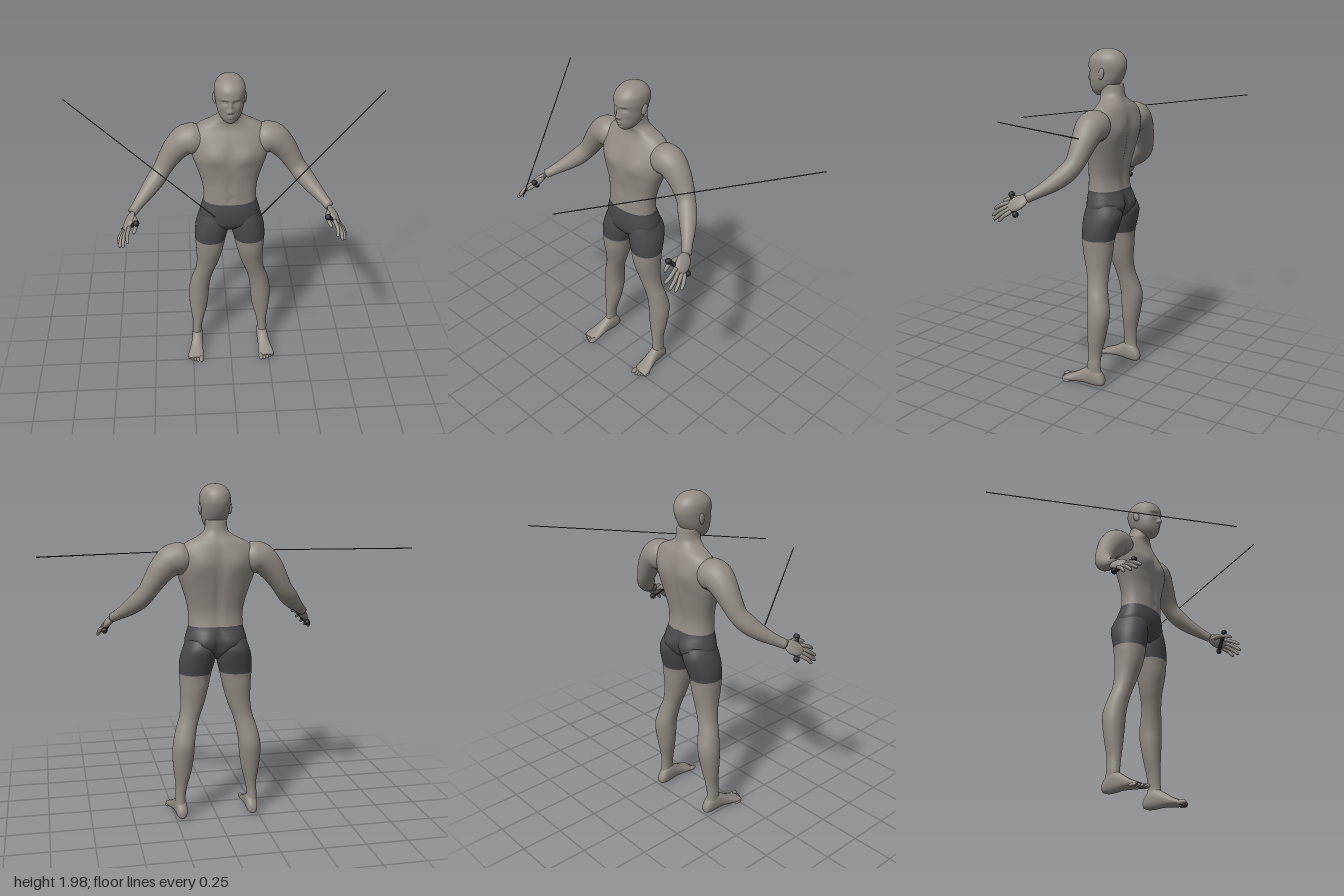
import * as THREE from 'three';

const material = (name, color) => Object.assign(new THREE.MeshStandardMaterial({ color }), { name });

// Closed skin over a list of rings of points; rings before splitRing form a first material group
function skin(rings, splitRing = 0) {
  const n = rings[0].length;
  const middle = (r) => r.reduce((s, p) => s.add(p), new THREE.Vector3()).divideScalar(n);
  const pos = [], index = [];
  for (const r of rings) for (const p of r) pos.push(p.x, p.y, p.z);
  for (let i = 0; i < rings.length - 1; i++) {
    for (let j = 0; j < n; j++) {
      const a = i * n + j, b = i * n + (j + 1) % n;
      index.push(a, b, b + n, a, b + n, a + n);
    }
  }
  const split = splitRing * n * 6, last = (rings.length - 1) * n, c = rings.length * n;
  for (const p of [middle(rings[0]), middle(rings[rings.length - 1])]) pos.push(p.x, p.y, p.z);
  for (let j = 0; j < n; j++) {
    const k = (j + 1) % n;
    index.push(last + j, last + k, c + 1);
    index.unshift(c, k, j);
  }
  const g = new THREE.BufferGeometry();
  g.setAttribute('position', new THREE.Float32BufferAttribute(pos, 3));
  g.setIndex(index);
  g.computeVertexNormals();
  if (splitRing) {
    g.addGroup(0, split + n * 3, 0);
    g.addGroup(split + n * 3, index.length - split - n * 3, 1);
  }
  return g;
}

// Sections [y, centre x, half width, front z, back z], smoothed, with soft bumps
// Bump: [side (1 front, -1 back), x, y, x radius, y radius, shift in z]
function loft(sections, { sub = 5, seg = 40, power = 0.9, bumps = [], split = 0 } = {}) {
  const at = (i) => sections[Math.min(Math.max(i, 0), sections.length - 1)];
  const rings = [];
  const pw = (v) => Math.sign(v) * Math.abs(v) ** power;
  for (let k = 0; k <= (sections.length - 1) * sub; k++) {
    const i = Math.floor(k / sub), t = k / sub - i;
    const [y, cx, w, f, b] = at(i).map((p1, c) => {
      const p0 = at(i - 1)[c], p2 = at(i + 1)[c], p3 = at(i + 2)[c];
      return p1 + 0.5 * t * (p2 - p0 + t * (2 * p0 - 5 * p1 + 4 * p2 - p3 + t * (3 * (p1 - p2) + p3 - p0)));
    });
    rings.push(Array.from({ length: seg }, (_, j) => {
      const a = j / seg * Math.PI * 2;
      const p = new THREE.Vector3(cx + w * pw(Math.sin(a)), y, (f + b) / 2 + (f - b) / 2 * pw(Math.cos(a)));
      for (const [side, bx, by, rx, ry, d] of bumps) {
        const facing = THREE.MathUtils.smoothstep(Math.cos(a) * side, 0, 0.5);
        p.z += facing * d * Math.exp(-(((Math.abs(p.x) - bx) / rx) ** 2) - ((y - by) / ry) ** 2);
      }
      return p;
    }));
  }
  return skin(rings, split * sub);
}

// Round limb through points [x, y, z, radius]
function limb(points, seg = 24, steps = 40) {
  const curve = new THREE.CatmullRomCurve3(points.map((p) => new THREE.Vector3(p[0], p[1], p[2])));
  const radii = new THREE.SplineCurve(points.map((p, i) => new THREE.Vector2(i, p[3])));
  const { normals, binormals } = curve.computeFrenetFrames(steps);
  const rings = [];
  for (let i = 0; i <= steps; i++) {
    const t = curve.getUtoTmapping(i / steps), c = curve.getPoint(t), r = radii.getPoint(t).y;
    rings.push(Array.from({ length: seg }, (_, j) => {
      const a = j / seg * Math.PI * 2;
      return c.clone().addScaledVector(normals[i], r * Math.cos(a)).addScaledVector(binormals[i], r * Math.sin(a));
    }));
  }
  return skin(rings);
}

const ball = (x, y, z, rx, ry, rz) => new THREE.SphereGeometry(1, 20, 14).scale(rx, ry, rz).translate(x, y, z);

// Straight round bar between two points
function bar(a, b, r) {
  const d = b.clone().sub(a);
  const q = new THREE.Quaternion().setFromUnitVectors(new THREE.Vector3(0, 1, 0), d.clone().normalize());
  const m = a.clone().add(b).multiplyScalar(0.5);
  return new THREE.CylinderGeometry(r, r, d.length(), 12).applyQuaternion(q).translate(m.x, m.y, m.z);
}

function mirrored(geo) {
  const g = geo.clone().scale(-1, 1, 1), ix = g.index.array;
  for (let i = 0; i < ix.length; i += 3) [ix[i], ix[i + 1]] = [ix[i + 1], ix[i]];
  g.computeVertexNormals();
  return g;
}

export function createModel() {
  const model = new THREE.Group();
  const skinMat = material('skin', 0x938c85);
  const shortsMat = material('shorts cloth', 0x4a494e);
  const rodMat = material('rod metal', 0x444446);
  const gripMat = material('grip rubber', 0x29292d);
  const add = (name, geo, mat) => {
    const mesh = new THREE.Mesh(geo, mat);
    mesh.name = name;
    model.add(mesh);
  };
  const pair = (name, geo, mat) => {
    add(name + 'Left', geo, mat);
    add(name + 'Right', mirrored(geo), mat);
  };

  // Torso with pelvis, chest, shoulders and neck
  add('torso', loft([
    [0.975, 0, 0.05, -0.09, -0.2], [1.02, 0, 0.16, -0.055, -0.25], [1.08, 0, 0.182, -0.045, -0.268],
    [1.13, 0, 0.172, -0.045, -0.262], [1.175, 0, 0.16, -0.05, -0.25], [1.25, 0, 0.16, -0.053, -0.243],
    [1.32, 0, 0.173, -0.055, -0.252], [1.4, 0, 0.198, -0.047, -0.268], [1.47, 0, 0.222, -0.045, -0.28],
    [1.54, 0, 0.235, -0.06, -0.285], [1.6, 0, 0.225, -0.082, -0.28], [1.65, 0, 0.185, -0.105, -0.268],
    [1.685, 0, 0.115, -0.11, -0.25], [1.72, 0, 0.068, -0.1, -0.237], [1.78, 0, 0.06, -0.09, -0.23],
  ], {
    seg: 64, split: 4, bumps: [
      [1, 0.09, 1.5, 0.065, 0.055, 0.016], [1, 0, 1.5, 0.015, 0.08, -0.006], [1, 0, 1.21, 0.01, 0.012, -0.008],
      [1, 0, 1.3, 0.01, 0.08, -0.004], [1, 0.045, 1.3, 0.03, 0.08, 0.004],
      [-1, 0, 1.4, 0.022, 0.2, 0.014], [-1, 0.1, 1.54, 0.06, 0.07, -0.014],
      [-1, 0.085, 1.08, 0.06, 0.06, -0.02], [-1, 0, 1.05, 0.018, 0.08, 0.022],
    ],
  }), [shortsMat, skinMat]);

  // Head with sculpted face
  add('head', loft([
    [1.712, 0, 0.02, -0.06, -0.11], [1.73, 0, 0.045, -0.043, -0.15], [1.76, 0, 0.065, -0.03, -0.19],
    [1.8, 0, 0.077, -0.024, -0.22], [1.84, 0, 0.083, -0.022, -0.238], [1.88, 0, 0.088, -0.017, -0.247],
    [1.92, 0, 0.085, -0.025, -0.24], [1.95, 0, 0.068, -0.052, -0.218], [1.968, 0, 0.046, -0.08, -0.188],
    [1.978, 0, 0.014, -0.115, -0.148],
  ], {
    seg: 96, sub: 7, power: 0.95, bumps: [
      [1, 0, 1.807, 0.012, 0.014, 0.022], [1, 0, 1.835, 0.009, 0.022, 0.013], [1, 0.014, 1.801, 0.007, 0.008, 0.011],
      [1, 0.033, 1.855, 0.019, 0.011, -0.014], [1, 0.033, 1.854, 0.009, 0.005, 0.006],
      [1, 0.03, 1.875, 0.022, 0.007, 0.004], [1, 0, 1.773, 0.02, 0.005, 0.008], [1, 0, 1.759, 0.016, 0.005, 0.008],
      [1, 0, 1.735, 0.02, 0.012, 0.005], [1, 0.05, 1.82, 0.015, 0.015, 0.004],
    ],
  }), skinMat);
  pair('ear', ball(0, 0, 0, 0.011, 0.034, 0.02).rotateX(-0.2).rotateY(-0.3).translate(0.085, 1.838, -0.14), skinMat);

  // Legs, wearing the shorts above mid thigh: [y, inner x, outer x, front z, back z]
  const leg = [
    [1.1, 0.01, 0.172, -0.07, -0.26], [1.04, 0.003, 0.195, -0.055, -0.283], [0.97, 0.006, 0.213, -0.05, -0.268],
    [0.89, 0.026, 0.216, -0.055, -0.245], [0.8, 0.045, 0.211, -0.065, -0.238], [0.7, 0.072, 0.21, -0.092, -0.228],
    [0.62, 0.102, 0.222, -0.11, -0.23], [0.55, 0.12, 0.245, -0.122, -0.245], [0.47, 0.133, 0.262, -0.13, -0.264],
    [0.4, 0.138, 0.267, -0.133, -0.26], [0.3, 0.152, 0.26, -0.138, -0.243], [0.2, 0.178, 0.247, -0.14, -0.225],
    [0.12, 0.19, 0.25, -0.14, -0.222], [0.06, 0.187, 0.247, -0.135, -0.235],
  ].reverse().map(([y, xi, xo, f, b]) => [y, (xi + xo) / 2, (xo - xi) / 2, f, b]);
  pair('leg', loft(leg, { split: 10, power: 0.95 }), [skinMat, shortsMat]);

  // Feet, lofted from heel to ball: [z, centre x, half width, -bottom, -top]
  pair('foot', loft([
    [-0.25, 0.215, 0.012, -0.02, -0.045], [-0.24, 0.215, 0.026, -0.008, -0.07], [-0.21, 0.216, 0.034, 0, -0.11],
    [-0.17, 0.218, 0.036, 0, -0.125], [-0.12, 0.222, 0.037, -0.005, -0.1], [-0.07, 0.228, 0.043, -0.004, -0.068],
    [-0.03, 0.233, 0.05, -0.002, -0.048], [0, 0.235, 0.048, -0.004, -0.035], [0.012, 0.235, 0.042, -0.01, -0.028],
  ], { seg: 32 }).rotateX(Math.PI / 2), skinMat);
  for (let i = 0; i < 5; i++) {
    const r = i ? 0.0105 : 0.015;
    pair('toe' + (i + 1), ball(0.199 + i * 0.019 + (i ? 0.003 : 0), r + 0.002, 0.012 - i * i * 0.0018, r, r, 0.034 - i * 0.002), skinMat);
  }

  // Arms from shoulder to wrist
  pair('arm', limb([
    [0.15, 1.56, -0.18, 0.07], [0.2, 1.563, -0.18, 0.09], [0.25, 1.56, -0.18, 0.09], [0.31, 1.51, -0.18, 0.077],
    [0.36, 1.44, -0.175, 0.063], [0.4, 1.375, -0.162, 0.054], [0.44, 1.325, -0.13, 0.054],
    [0.49, 1.275, -0.08, 0.045], [0.545, 1.228, -0.015, 0.032], [0.58, 1.2, 0.03, 0.028],
  ]), skinMat);

  // Hands: across runs from thumb side to little finger side
  const along = new THREE.Vector3(0.04, -0.06, 0.105).normalize();
  const across = new THREE.Vector3(0.065, -0.075, -0.075).normalize();
  const back = along.clone().cross(across).normalize();
  across.crossVectors(back, along);
  const basis = new THREE.Matrix4().makeBasis(along, across, back).setPosition(0.598, 1.17, 0.078);
  pair('palm', ball(0, 0, 0, 0.068, 0.046, 0.021).applyMatrix4(basis), skinMat);
  const knuckles = new THREE.Vector3(0.612, 1.148, 0.115);
  const tips = [[0.605, 1.12, 0.232], [0.635, 1.088, 0.225], [0.655, 1.072, 0.2], [0.665, 1.07, 0.16]];
  tips.forEach((tip, i) => {
    const a = knuckles.clone().addScaledVector(across, (i - 1.5) * 0.021);
    const t = new THREE.Vector3(...tip);
    const m = a.clone().lerp(t, 0.55).addScaledVector(back, 0.008);
    pair('finger' + (i + 1), limb([
      [...a.toArray(), 0.012], [...m.toArray(), 0.011], [...a.clone().lerp(t, 0.93).toArray(), 0.009], [...tip, 0.004],
    ], 12, 14), skinMat);
  });
  pair('thumb', limb([
    [0.585, 1.19, 0.05, 0.018], [0.562, 1.188, 0.1, 0.016], [0.557, 1.18, 0.15, 0.012],
    [0.566, 1.167, 0.185, 0.01], [0.57, 1.162, 0.196, 0.004],
  ], 12, 16), skinMat);

  // Hand grips with rounded ends
  const grip = new THREE.Vector3(0.6, 1.165, 0.11).addScaledVector(back, -0.012);
  const ends = [-0.07, 0.07].map((d) => grip.clone().addScaledVector(across, d));
  pair('grip', bar(ends[0], ends[1], 0.012), gripMat);
  ends.forEach((e, i) => pair('gripEnd' + (i + 1), ball(e.x, e.y, e.z, 0.018, 0.018, 0.018), gripMat));

  // Long thin rods
  pair('rod', bar(new THREE.Vector3(0.999, 1.643, -0.585), new THREE.Vector3(0.117, 1.513, 0.582), 0.003), rodMat);

  return model;
}
